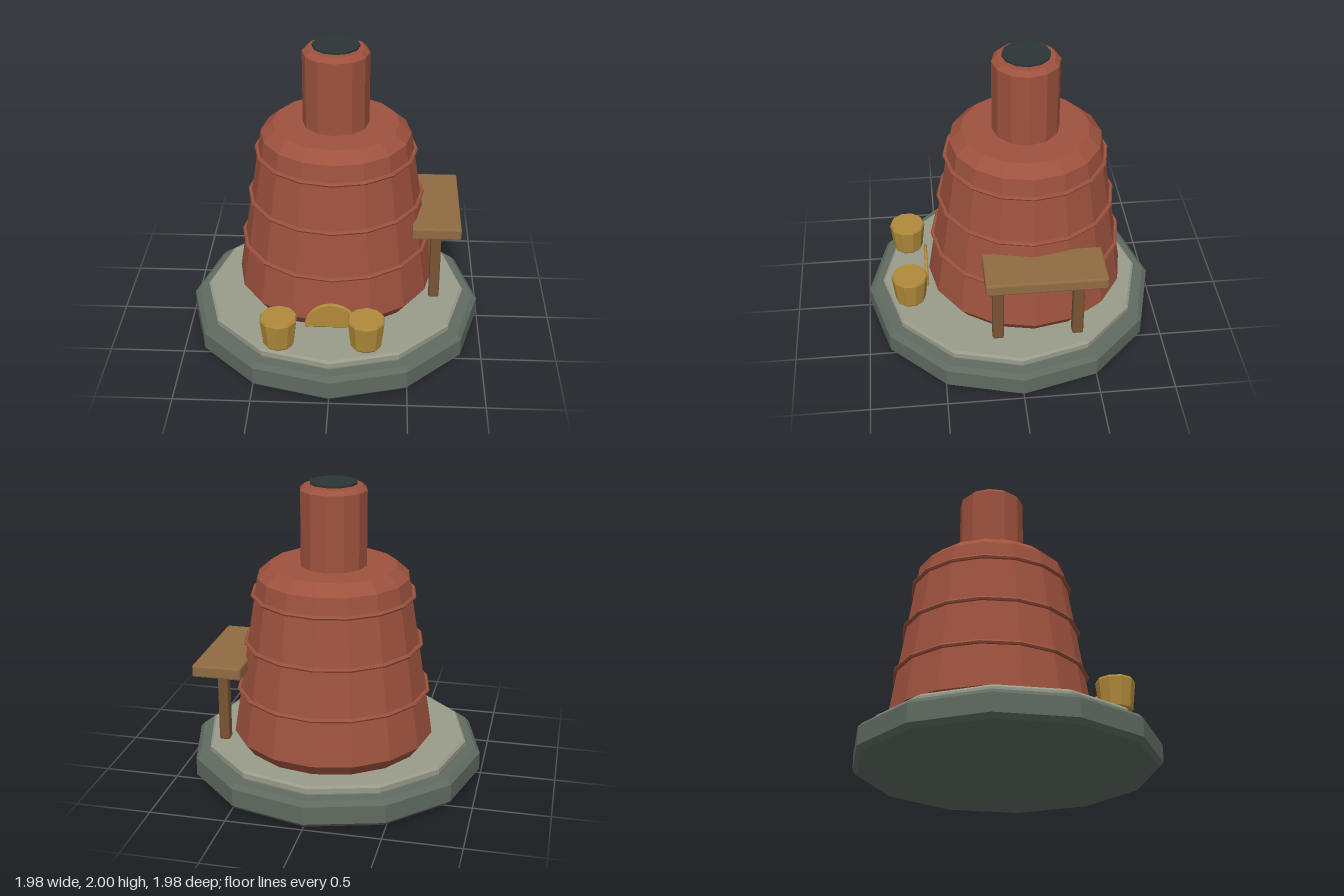
import * as THREE from 'three';
import { RoundedBoxGeometry } from 'three/addons/geometries/RoundedBoxGeometry.js';

const paint = (name, color) => {
  const m = new THREE.MeshStandardMaterial({ color, flatShading: true });
  m.name = name;
  return m;
};

export function createModel() {
  const model = new THREE.Group();
  model.name = 'kiln';

  const darkStone = paint('darkStone', 0x5f6b61);
  const paleStone = paint('paleStone', 0x999b8a);
  const clay = paint('clay', 0x9e523e);
  const soot = paint('soot', 0x2c3535);
  const wood = paint('wood', 0x8f6b42);
  const darkWood = paint('darkWood', 0x795434);
  const ochre = paint('ochre', 0xb08a3a);

  const add = (name, geometry, material, x = 0, y = 0, z = 0) => {
    const mesh = new THREE.Mesh(geometry, material);
    mesh.name = name;
    mesh.position.set(x, y, z);
    model.add(mesh);
    return mesh;
  };

  // Closed faceted solid turned from [radius, height] pairs, bottom to top
  const turned = (profile, sides) => {
    const closed = [[0, profile[0][1]], ...profile, [0, profile[profile.length - 1][1]]];
    return new THREE.LatheGeometry(closed.map(([r, y]) => new THREE.Vector2(r, y)), sides);
  };

  // Stepped stone plinth
  add('plinth', turned([[0.96, 0], [0.99, 0.03], [0.99, 0.15], [0.96, 0.18]], 12), darkStone);
  add('floorSlab', turned([[0.885, 0.175], [0.89, 0.19], [0.89, 0.225], [0.875, 0.24]], 12), paleStone);

  // Tapered kiln body with chamfered foot and shoulder
  const kilnZ = -0.105;
  add('kilnBody', turned([[0.61, 0.24], [0.67, 0.32], [0.5, 1.385], [0.42, 1.455]], 16), clay, 0, 0, kilnZ);

  // Raised bands around the body
  for (const y of [0.623, 0.942, 1.265]) {
    const radius = 0.67 - 0.17 * (y - 0.32) / 1.065 + 0.012;
    const band = add('kilnBand', new THREE.TorusGeometry(radius, 0.014, 6, 16), clay, 0, y, kilnZ);
    band.rotation.x = Math.PI / 2;
  }

  // Chimney and its dark mouth
  add('chimney', turned([[0.22, 1.44], [0.22, 1.95], [0.19, 1.978]], 12), clay, 0, 0, kilnZ);
  add('chimneyMouth', turned([[0.155, 1.986], [0.155, 2]], 12), soot, 0, 0, kilnZ);

  // Half-round fire door
  const arch = new THREE.Shape();
  arch.absarc(0, 0, 0.165, 0, Math.PI, false);
  arch.closePath();
  const door = new THREE.ExtrudeGeometry(arch, {
    depth: 0.008, bevelThickness: 0.008, bevelSize: 0.009, bevelSegments: 1, curveSegments: 14,
  });
  add('fireDoor', door, ochre, 0, 0.303, 0.58);

  // Clay pots in front
  for (const x of [-0.335, 0.23]) {
    add('pot', turned([[0.095, 0.25], [0.103, 0.262], [0.123, 0.44], [0.115, 0.455]], 10), ochre, x, 0, 0.703);
  }

  // Work shelf on two legs
  add('shelfTop', new RoundedBoxGeometry(0.325, 0.082, 0.775, 1, 0.012), wood, 0.68, 0.801, -0.157);
  for (const z of [0.143, -0.382]) {
    add('shelfLeg', new RoundedBoxGeometry(0.07, 0.5, 0.074, 1, 0.012), darkWood, 0.68, 0.52, z);
  }

  return model;
}
